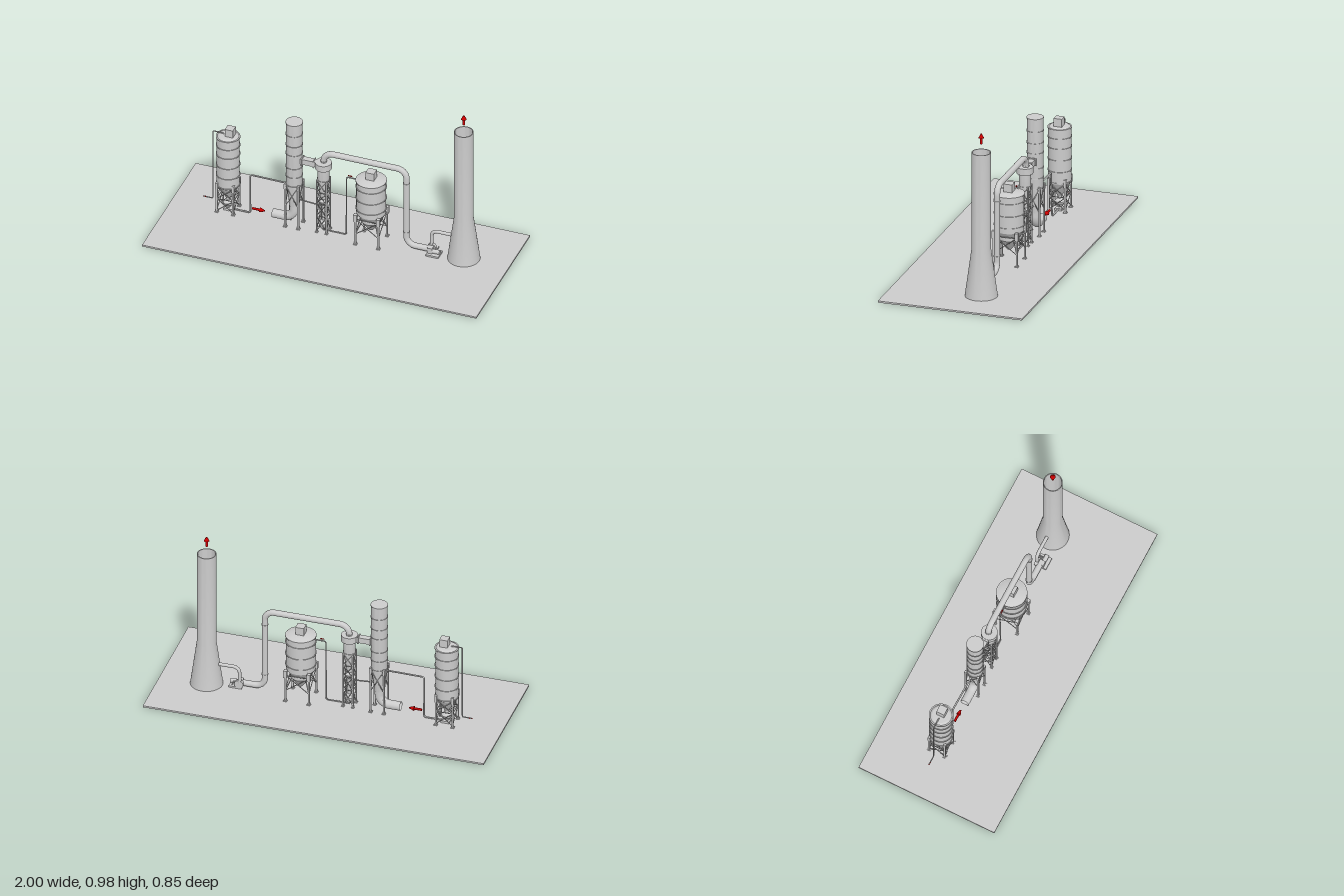
import * as THREE from 'three';
import { toCreasedNormals } from 'three/addons/utils/BufferGeometryUtils.js';

const grey = new THREE.MeshStandardMaterial({ color: 0xcccccc, side: THREE.DoubleSide });
const red = new THREE.MeshStandardMaterial({ color: 0xcc0000 });
const V = (x, y, z) => new THREE.Vector3(x, y, z);

function add(parent, name, geo, x = 0, y = 0, z = 0, mat = grey) {
  const m = new THREE.Mesh(geo, mat);
  m.name = name;
  m.position.set(x, y, z);
  parent.add(m);
  return m;
}

function group(parent, name, x = 0, z = 0) {
  const g = new THREE.Group();
  g.name = name;
  g.position.set(x, 0, z);
  parent.add(g);
  return g;
}

const box = (w, h, d) => new THREE.BoxGeometry(w, h, d);
const cyl = (r, h, n = 24) => new THREE.CylinderGeometry(r, r, h, n);

// Turned body from [radius, height] pairs, listed bottom to top
function turned(profile, n = 32) {
  const g = new THREE.LatheGeometry(profile.map(p => new THREE.Vector2(p[0], p[1])), n);
  return toCreasedNormals(g, 0.5);
}

// Straight bar between two points
function bar(parent, name, a, b, r) {
  const d = b.clone().sub(a);
  const m = add(parent, name, cyl(r, d.length(), 6));
  m.position.copy(a).addScaledVector(d, 0.5);
  m.quaternion.setFromUnitVectors(V(0, 1, 0), d.normalize());
}

// Pipe along corner points, with rounded bends
function pipe(parent, name, pts, r, bend, sides = 12) {
  const path = new THREE.CurvePath();
  let last = pts[0];
  for (let i = 1; i < pts.length - 1; i++) {
    const p = pts[i];
    const into = p.clone().add(pts[i - 1].clone().sub(p).setLength(bend));
    const out = p.clone().add(pts[i + 1].clone().sub(p).setLength(bend));
    path.add(new THREE.LineCurve3(last, into));
    const k = 0.45;
    path.add(new THREE.CubicBezierCurve3(into, into.clone().lerp(p, 1 - k),
      out.clone().lerp(p, 1 - k), out));
    last = out;
  }
  path.add(new THREE.LineCurve3(last, pts[pts.length - 1]));
  add(parent, name, new THREE.TubeGeometry(path, 140, r, sides));
}

// Four legs with feet, lugs and crossed braces
function frame(parent, off, top, r, levels) {
  const c = [[1, 1], [1, -1], [-1, -1], [-1, 1]].map(([x, z]) => [x * off, z * off]);
  c.forEach(([x, z], i) => {
    const [x2, z2] = c[(i + 1) % 4];
    add(parent, 'leg', box(r * 2, top, r * 2), x, top / 2, z);
    add(parent, 'foot', box(r * 4, 0.006, r * 4), x, 0.012, z);
    for (let j = 0; j < levels.length - 1; j++) {
      const [y, y2] = [levels[j], levels[j + 1]];
      bar(parent, 'brace', V(x, y, z), V(x2, y2, z2), r * 0.5);
      bar(parent, 'brace', V(x2, y, z2), V(x, y2, z), r * 0.5);
      bar(parent, 'crossBeam', V(x, y2, z), V(x2, y2, z2), r * 0.5);
    }
  });
  return c;
}

function rings(parent, r, heights) {
  for (const y of heights) add(parent, 'stiffenerRing', cyl(r, 0.006, 32), 0, y, 0);
}

function arrow(parent, pos, rotZ, len, r) {
  const g = group(parent, 'flowArrow');
  g.position.copy(pos);
  g.rotation.z = rotZ;
  const head = len * 0.4;
  add(g, 'arrowShaft', cyl(r / 2, len - head, 8), 0, (len - head) / 2, 0, red);
  add(g, 'arrowHead', new THREE.CylinderGeometry(r * 0.25, r, head, 8), 0, len - head / 2, 0, red);
}

export function createModel() {
  const root = new THREE.Group();
  root.name = 'gasCleaningPlant';
  add(root, 'groundSlab', box(2, 0.01, 0.854), 0, 0.005, 0);

  // Chimney, hollow at the top
  const chimney = group(root, 'chimney', 0.73, -0.093);
  add(chimney, 'chimneyShell', turned([[0.093, 0.008], [0.055, 0.29], [0.055, 0.87],
    [0.05, 0.87], [0.05, 0.3], [0, 0.3]], 40));
  arrow(chimney, V(0, 0.92, 0), 0, 0.06, 0.016);

  // Slim reagent silo
  const silo = group(root, 'reagentSilo', -0.674, -0.075);
  add(silo, 'siloBody', turned([[0, 0.09], [0.012, 0.09], [0.065, 0.18], [0.065, 0.505],
    [0.05, 0.516], [0, 0.518]]));
  rings(silo, 0.069, [0.185, 0.25, 0.32, 0.39, 0.45, 0.505]);
  add(silo, 'roofFilter', box(0.048, 0.055, 0.048), 0.013, 0.537, 0);
  add(silo, 'dosingValve', turned([[0, 0.02], [0.012, 0.025], [0.03, 0.05], [0.03, 0.06],
    [0.012, 0.078], [0.012, 0.095]], 16));
  add(silo, 'blowerBase', box(0.05, 0.014, 0.04), 0.005, 0.016, 0);
  for (const [x, z] of frame(silo, 0.049, 0.2, 0.005, [0.02, 0.1, 0.18]))
    add(silo, 'legLug', box(0.014, 0.045, 0.014), x, 0.185, z);
  pipe(root, 'fillPipe', [V(-0.82, 0.06, -0.075), V(-0.765, 0.06, -0.075),
    V(-0.765, 0.52, -0.075), V(-0.7, 0.52, -0.075), V(-0.7, 0.505, -0.075)], 0.0035, 0.007, 8);
  arrow(root, V(-0.825, 0.06, -0.075), -Math.PI / 2, 0.025, 0.005);
  pipe(root, 'reagentPipe', [V(-0.674, 0.017, -0.075), V(-0.54, 0.017, -0.075),
    V(-0.54, 0.278, -0.07), V(-0.275, 0.278, -0.066)], 0.005, 0.014, 8);

  // Reactor tower with bent inlet duct
  const tower = group(root, 'reactorTower', -0.275, -0.066);
  add(tower, 'towerBody', turned([[0.028, 0.14], [0.03, 0.17], [0.046, 0.29], [0.046, 0.71], [0, 0.71]]));
  rings(tower, 0.049, [0.29, 0.35, 0.41, 0.5, 0.56, 0.63, 0.707]);
  pipe(tower, 'inletDuct', [V(-0.127, 0.055, 0), V(0, 0.055, 0), V(0, 0.17, 0)], 0.026, 0.06, 24);
  for (const [x, z] of frame(tower, 0.039, 0.3, 0.005, [0.15, 0.29]))
    add(tower, 'legLug', box(0.013, 0.035, 0.013), x, 0.285, z);
  arrow(root, V(-0.525, 0.055, -0.066), -Math.PI / 2, 0.075, 0.014);

  // Duct from the tower to the cyclone
  const link = group(root, 'linkDuct', -0.19, -0.066);
  add(link, 'ductBody', box(0.11, 0.034, 0.035), 0, 0.457, 0);
  for (const x of [-0.035, 0.035]) add(link, 'ductFlange', box(0.006, 0.044, 0.046), x, 0.457, 0);

  // Cyclone separator with double flap valves
  const cyclone = group(root, 'cyclone', -0.1, -0.066);
  add(cyclone, 'cycloneBody', turned([[0.01, 0.2], [0.034, 0.36], [0.034, 0.437], [0.047, 0.437],
    [0.047, 0.476], [0.02, 0.476], [0, 0.476]]));
  add(cyclone, 'hopperValve', turned([[0.01, 0.13], [0.01, 0.185], [0.027, 0.205], [0.027, 0.215],
    [0.01, 0.235]], 16));
  add(cyclone, 'lowerValve', turned([[0, 0.02], [0.012, 0.025], [0.027, 0.055], [0.027, 0.065],
    [0.01, 0.085], [0.01, 0.13]], 16));
  rings(cyclone, 0.037, [0.36, 0.43]);
  frame(cyclone, 0.029, 0.365, 0.004, [0.02, 0.12, 0.21, 0.28, 0.36]);
  bar(root, 'returnPipe', V(-0.25, 0.185, -0.066), V(-0.1, 0.175, -0.066), 0.004);

  // Main overhead duct from the cyclone to the fan
  const z = -0.071;
  pipe(root, 'overheadDuct', [V(-0.1, 0.46, z), V(-0.1, 0.538, z), V(0.395, 0.538, z),
    V(0.395, 0.037, z), V(0.54, 0.037, z)], 0.0175, 0.055, 20);
  for (const [x, y] of [[-0.1, 0.482], [0.395, 0.45], [0.395, 0.12]])
    add(root, 'ductCollar', cyl(0.0195, 0.005), x, y, z);

  // Dust discharge line to the storage silo
  pipe(root, 'dustPipe', [V(-0.1, 0.017, -0.066), V(0.037, 0.017, -0.066), V(0.037, 0.405, -0.07),
    V(0.11, 0.405, -0.07)], 0.004, 0.012, 8);
  arrow(root, V(0.047, 0.417, -0.07), -Math.PI / 2, 0.025, 0.005);

  // Wide storage silo
  const store = group(root, 'storageSilo', 0.184, -0.071);
  add(store, 'storeBody', turned([[0, 0.085], [0.012, 0.085], [0.06, 0.15], [0.06, 0.17],
    [0.084, 0.205], [0.084, 0.422], [0.06, 0.432], [0, 0.435]], 36));
  rings(store, 0.088, [0.235, 0.305, 0.38, 0.42]);
  add(store, 'roofFilter', box(0.05, 0.052, 0.05), 0, 0.455, 0);
  for (const [x, zz] of frame(store, 0.069, 0.2, 0.005, [0.08, 0.18])) {
    add(store, 'legLug', box(0.02, 0.045, 0.02), x, 0.19, zz);
    bar(store, 'kneeBrace', V(x, 0.08, zz), V(x * 0.6, 0.15, zz * 0.6), 0.0035);
  }

  // Fan, drive motor and outlet pipe into the chimney
  const fan = group(root, 'fan', 0.54, z);
  add(fan, 'fanHousing', cyl(0.026, 0.02), 0, 0.037, -0.02).rotation.x = Math.PI / 2;
  add(fan, 'fanInlet', box(0.03, 0.034, 0.035), 0, 0.037, 0.005);
  add(fan, 'fanPlinth', box(0.075, 0.012, 0.07), 0.022, 0.014, 0.005);
  add(fan, 'fanMotor', cyl(0.013, 0.045, 16), 0.036, 0.033, 0.01).rotation.z = Math.PI / 2;
  add(fan, 'driveShaft', cyl(0.004, 0.05, 8), 0.036, 0.037, -0.01).rotation.x = Math.PI / 2;
  pipe(root, 'fanOutlet', [V(0.537, 0.045, -0.093), V(0.537, 0.148, -0.093), V(0.69, 0.148, -0.093)],
    0.01, 0.035, 16);
  return root;
}
